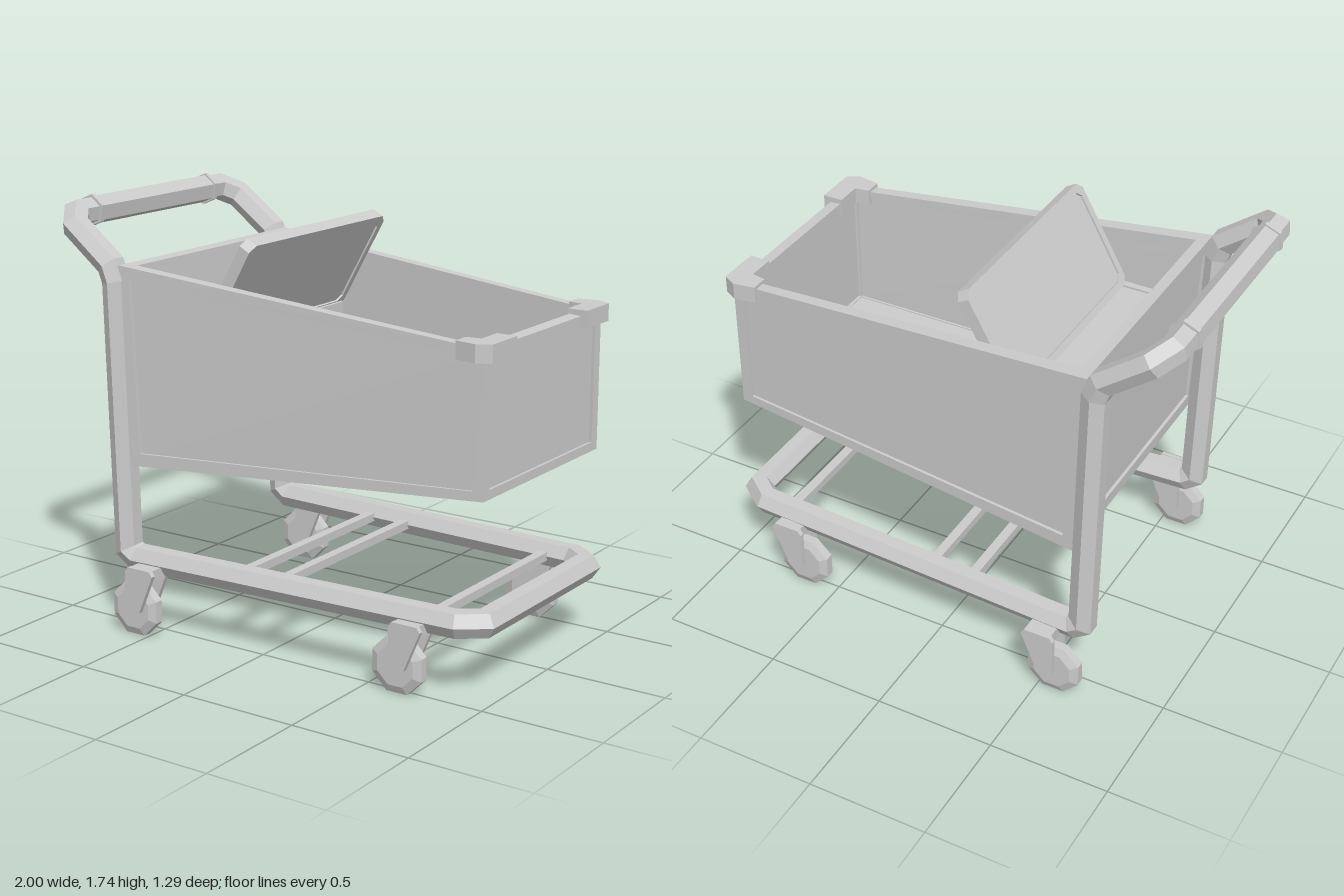
import * as THREE from 'three';

const mat = new THREE.MeshStandardMaterial({ color: 0xcccccc, flatShading: true });
const V = (x, y, z) => new THREE.Vector3(x, y, z);

function add(parent, name, geo) {
  const m = new THREE.Mesh(geo, mat);
  m.name = name;
  parent.add(m);
  return m;
}

// Hexagonal tube with mitred bends: each ring slides along its segment to the next bisecting plane.
function mitredTube(path, radius, startAngle) {
  let ring = [];
  for (let i = 0; i < 6; i++) {
    const a = startAngle + (i * Math.PI) / 3;
    ring.push(V(Math.cos(a) * radius, Math.sin(a) * radius, 0).add(path[0]));
  }
  const pos = [];
  for (let k = 0; k < path.length - 1; k++) {
    const d = path[k + 1].clone().sub(path[k]).normalize();
    const n = d.clone();
    if (k + 2 < path.length) n.add(path[k + 2].clone().sub(path[k + 1]).normalize());
    const next = ring.map((p) =>
      p.clone().addScaledVector(d, path[k + 1].clone().sub(p).dot(n) / d.dot(n)));
    for (let i = 0; i < 6; i++) {
      const j = (i + 1) % 6;
      for (const p of [ring[i], ring[j], next[j], ring[i], next[j], next[i]]) pos.push(p.x, p.y, p.z);
    }
    ring = next;
  }
  const g = new THREE.BufferGeometry();
  g.setAttribute('position', new THREE.Float32BufferAttribute(pos, 3));
  g.computeVertexNormals();
  return g;
}

// Box in basket space (u rear to front, v bottom to top, w right to left), bent to the tapered basket.
function basketBox(u0, u1, v0, v1, w0, w1) {
  const g = new THREE.BoxGeometry(1, 1, 1);
  const p = g.attributes.position;
  const mix = THREE.MathUtils.lerp;
  for (let i = 0; i < p.count; i++) {
    const u = p.getX(i) > 0 ? u1 : u0, v = p.getY(i) > 0 ? v1 : v0, w = p.getZ(i) > 0 ? w1 : w0;
    p.setXYZ(i,
      mix(mix(-0.61, -0.65, v), 0.955, u),
      mix(mix(0.69, 0.78, u), mix(1.5, 1.345, u), v),
      mix(-1, 1, w) * mix(0.555, 0.44, u));
  }
  g.computeVertexNormals();
  return g;
}

// Rectangle with cut corners
function cutRect(w, h, c, Type) {
  const x = w / 2, y = h / 2;
  return new Type([[-x + c, -y], [x - c, -y], [x, -y + c], [x, y - c], [x - c, y], [-x + c, y], [-x, y - c], [-x, -y + c]]
    .map(([a, b]) => new THREE.Vector2(a, b)));
}

// Board with a raised rim, from edge point a to b in the side plane
function rimmedBoard(parent, name, a, b, width) {
  const g = new THREE.Group();
  g.name = name;
  const up = b.clone().sub(a), len = up.length();
  up.normalize();
  const side = V(0, 0, 1);
  g.matrix.makeBasis(side, up, side.clone().cross(up));
  g.quaternion.setFromRotationMatrix(g.matrix);
  g.position.copy(a).add(b).multiplyScalar(0.5);
  const rim = cutRect(width, len, 0.03, THREE.Shape);
  rim.holes.push(cutRect(width - 0.06, len - 0.06, 0.025, THREE.Path));
  add(g, name + 'Rim', new THREE.ExtrudeGeometry(rim, { depth: 0.05, bevelEnabled: false }).translate(0, 0, -0.025));
  add(g, name + 'Panel', new THREE.BoxGeometry(width - 0.05, len - 0.05, 0.034));
  parent.add(g);
}

function caster(x, z) {
  const g = new THREE.Group();
  g.name = 'caster';
  const wheel = [[0, -0.032], [0.085, -0.032], [0.119, -0.018], [0.119, 0.018], [0.085, 0.032], [0, 0.032]]
    .map(([r, y]) => new THREE.Vector2(r, y));
  add(g, 'wheel', new THREE.LatheGeometry(wheel, 8, Math.PI / 8).rotateX(Math.PI / 2)).position.y = 0.11;
  // Fork: two tapered cheeks joined by a top bridge
  const cheek = new THREE.Shape([[-0.015, 0.11], [0.055, 0.11], [0.125, 0.275], [0.11, 0.295], [0.0, 0.295], [-0.015, 0.275]]
    .map(([a, b]) => new THREE.Vector2(a, b)));
  for (const s of [-1, 1]) {
    add(g, 'forkCheek', new THREE.ExtrudeGeometry(cheek, { depth: 0.02, bevelEnabled: false }))
      .position.z = s * 0.049 - 0.01;
  }
  add(g, 'forkBridge', new THREE.BoxGeometry(0.11, 0.05, 0.08)).position.set(0.055, 0.268, 0);
  g.position.set(x, 0, z);
  return g;
}

export function createModel() {
  const cart = new THREE.Group();
  cart.name = 'shoppingCart';

  // Tubular frame: handle, arm, post and base rail in one half loop, mirrored
  const path = [V(-0.94, 1.668, 0), V(-0.94, 1.668, 0.46), V(-0.885, 1.63, 0.53), V(-0.705, 1.495, 0.535),
    V(-0.68, 1.43, 0.535), V(-0.652, 0.33, 0.53), V(-0.61, 0.3, 0.528), V(0.86, 0.3, 0.46),
    V(0.945, 0.3, 0.395), V(0.945, 0.3, 0)];
  const tube = mitredTube(path, 0.056, THREE.MathUtils.degToRad(143));
  for (const s of [1, -1]) add(cart, 'frameTube', tube).scale.z = s;

  // Handle grip with end collars
  const grip = (r, len, z) => add(cart, len > 0.1 ? 'handleGrip' : 'gripCollar',
    new THREE.CylinderGeometry(r, r, len, 6).rotateX(Math.PI / 2).rotateZ(-0.13)).position.set(-0.94, 1.668, z);
  grip(0.06, 0.74, 0);
  for (const s of [-1, 1]) grip(0.068, 0.02, s * 0.37);

  // Base cross bars
  for (const [x, z] of [[-0.13, 0.5], [0.05, 0.49], [0.74, 0.46]]) {
    add(cart, 'baseCrossBar', new THREE.BoxGeometry(0.04, 0.035, z * 2)).position.set(x, 0.3, 0);
  }

  // Basket: twelve edge bars and five thin inset panels
  const basket = new THREE.Group();
  basket.name = 'basket';
  const tu = 0.03, tv = 0.065, tw = 0.05;
  for (const a of [0, 1]) for (const b of [0, 1]) {
    const u = [a * (1 - tu), tu + a * (1 - tu)];
    const v = [b * (1 - tv), tv + b * (1 - tv)];
    const va = [a * (1 - tv), tv + a * (1 - tv)];
    const w = [b * (1 - tw), tw + b * (1 - tw)];
    add(basket, 'basketRail', basketBox(0, 1, ...va, ...w));
    add(basket, 'basketCrossRail', basketBox(...u, ...v, 0, 1));
    add(basket, 'basketUpright', basketBox(...u, 0, 1, ...w));
  }
  add(basket, 'rightPanel', basketBox(0.01, 0.99, 0.03, 0.97, 0.012, 0.04));
  add(basket, 'leftPanel', basketBox(0.01, 0.99, 0.03, 0.97, 0.96, 0.988));
  add(basket, 'rearPanel', basketBox(0.008, 0.022, 0.03, 0.97, 0.02, 0.98));
  add(basket, 'frontPanel', basketBox(0.978, 0.992, 0.03, 0.97, 0.02, 0.98));
  add(basket, 'floorPanel', basketBox(0.01, 0.99, 0.04, 0.058, 0.02, 0.98));
  cart.add(basket);

  // L-shaped bumpers on the front top corners
  const bumper = new THREE.Shape([[0.84, 0.46], [0.93, 0.475], [0.985, 0.445], [0.985, 0.27], [0.9, 0.27], [0.9, 0.38], [0.84, 0.39]]
    .map(([x, z]) => new THREE.Vector2(x, z)).reverse());
  const bumperGeo = new THREE.ExtrudeGeometry(bumper, { depth: 0.07, bevelEnabled: false })
    .rotateX(-Math.PI / 2).translate(0, 1.3, 0);
  for (const s of [1, -1]) add(cart, 'cornerBumper', bumperGeo).scale.z = s;

  // Child seat and its leaning backrest
  rimmedBoard(cart, 'seat', V(-0.615, 1.21, 0), V(-0.26, 1.21, 0), 0.93);
  rimmedBoard(cart, 'backrest', V(-0.31, 1.225, 0), V(-0.083, 1.63, 0), 0.93);

  // Casters
  for (const s of [1, -1]) cart.add(caster(-0.565, s * 0.588), caster(0.645, s * 0.51));

  return cart;
}
